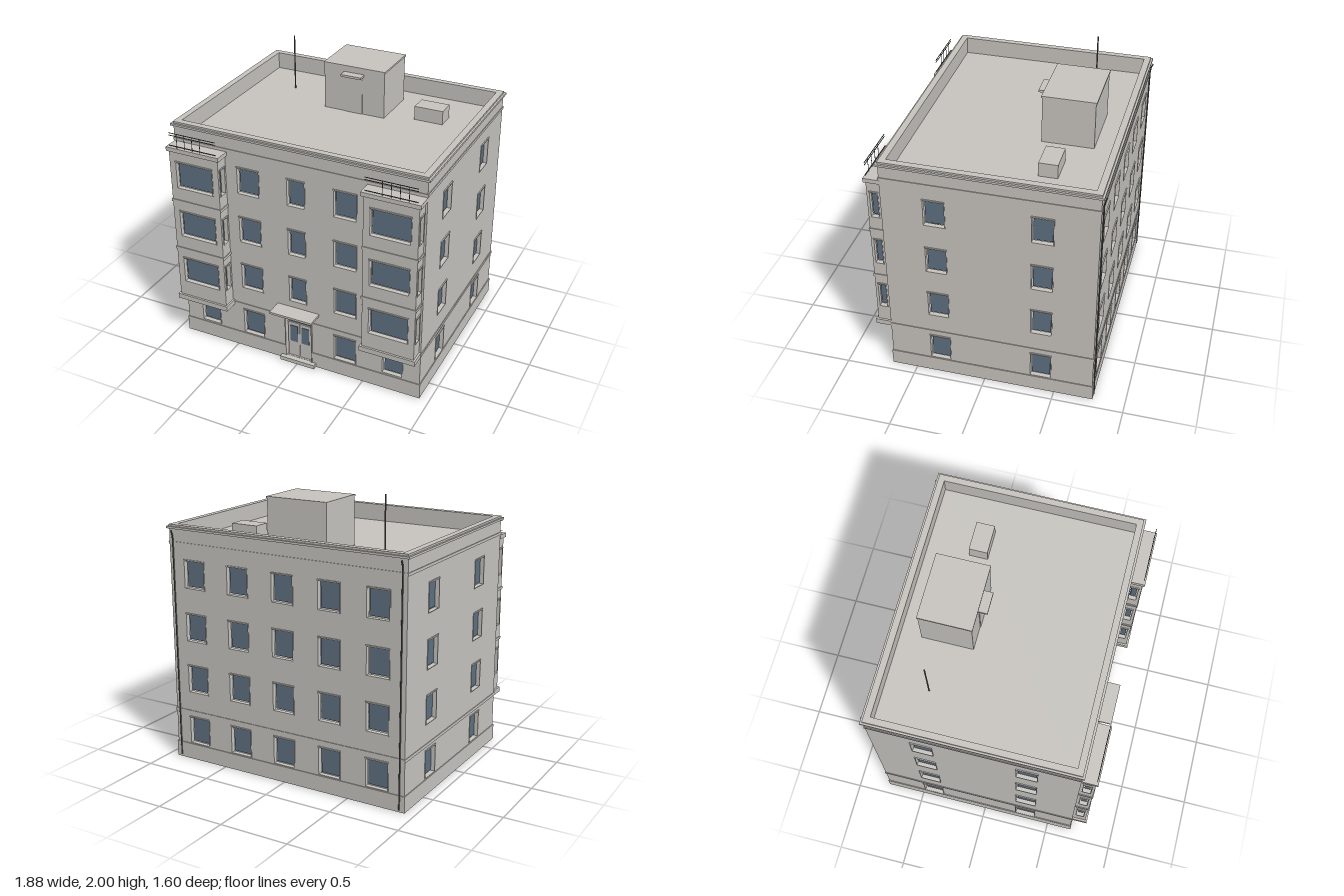
import * as THREE from 'three';

const X = 0.923, ZF = 0.677, ZB = -0.769, ROOF = 1.59, TOP = 1.685;
const ROWS = [0.222, 0.61, 0.99, 1.372];

export function createModel() {
  const concrete = new THREE.MeshStandardMaterial({ color: 0xc8c5c0, side: THREE.DoubleSide });
  concrete.name = 'concrete';
  const glass = new THREE.MeshStandardMaterial({ color: 0x5f7182 });
  glass.name = 'window glass';
  const metal = new THREE.MeshStandardMaterial({ color: 0x5a5a57 });
  metal.name = 'dark metal';

  const model = new THREE.Group();
  model.name = 'apartmentBlock';

  function add(parent, name, geo, mat = concrete) {
    const m = new THREE.Mesh(geo, mat);
    m.name = name;
    parent.add(m);
    return m;
  }
  // Box given by its limits on each axis
  function box(parent, name, [x0, x1], [y0, y1], [z0, z1], mat) {
    const m = add(parent, name, new THREE.BoxGeometry(x1 - x0, y1 - y0, z1 - z0), mat);
    m.position.set((x0 + x1) / 2, (y0 + y1) / 2, (z0 + z1) / 2);
    return m;
  }
  function group(parent, name) {
    const g = new THREE.Group();
    g.name = name;
    parent.add(g);
    return g;
  }
  function rect(S, x0, x1, y0, y1) {
    return new S([[x0, y0], [x1, y0], [x1, y1], [x0, y1]].map(p => new THREE.Vector2(...p)));
  }
  // Horizontal ring running round the building
  function ring(name, y0, y1, out, inn) {
    const s = rect(THREE.Shape, -X - out, X + out, -ZF - out, -ZB + out);
    s.holes.push(rect(THREE.Path, -X + inn, X - inn, -ZF + inn, -ZB - inn));
    const m = add(model, name, new THREE.ExtrudeGeometry(s, { depth: y1 - y0, bevelEnabled: false }));
    m.rotation.x = -Math.PI / 2;
    m.position.y = y0;
  }
  // Window: deep reveal, lintel and a recessed pane with a narrow open gap round it
  function windowUnit(parent, { x, y, w, h }) {
    const g = group(parent, 'window');
    g.position.set(x, y, 0);
    const s = rect(THREE.Shape, -w / 2 - 0.005, w / 2 + 0.005, -h / 2 - 0.005, h / 2 + 0.005);
    s.holes.push(rect(THREE.Path, -w / 2, w / 2, -h / 2, h / 2));
    const reveal = add(g, 'windowReveal', new THREE.ExtrudeGeometry(s, { depth: 0.034, bevelEnabled: false }));
    reveal.position.z = -0.03;
    box(g, 'lintel', [-w / 2 - 0.005, w / 2 + 0.005], [h / 2, h / 2 + 0.009], [0, 0.008]);
    const e = 0.008;
    box(g, 'windowPane', [-w / 2 + e, w / 2 - e], [-h / 2 + 0.009, h / 2 - 0.005], [-0.027, -0.022], glass);
  }
  // Thin wall facing local +z with openings; plain openings get no window
  function wall(parent, name, [x0, x1], [y0, y1], openings) {
    const g = group(parent, name);
    const s = rect(THREE.Shape, x0, x1, y0, y1);
    for (const o of openings) {
      s.holes.push(rect(THREE.Path, o.x - o.w / 2, o.x + o.w / 2, o.y - o.h / 2, o.y + o.h / 2));
      if (!o.plain) windowUnit(g, o);
    }
    add(g, name + 'Surface', new THREE.ShapeGeometry(s));
    return g;
  }

  // Main walls
  const front = [{ x: 0, y: 0.216, w: 0.2, h: 0.368, plain: true }];
  for (const y of ROWS) {
    for (const x of [-0.36, 0.36]) front.push({ x, y, w: 0.163, h: 0.195 });
    if (y > 0.5) front.push({ x: 0, y, w: 0.128, h: 0.195 });
  }
  for (const x of [-0.72, 0.72]) front.push({ x, y: 0.22, w: 0.147, h: 0.178 });
  wall(model, 'frontWall', [-X, X], [0, TOP], front).position.z = ZF;

  const back = ROWS.flatMap(y => [-0.72, -0.36, 0, 0.36, 0.72].map(x => ({ x, y, w: 0.163, h: 0.195 })));
  const backWall = wall(model, 'backWall', [-X, X], [0, TOP], back);
  backWall.position.z = ZB;
  backWall.rotation.y = Math.PI;

  for (const s of [-1, 1]) {
    const holes = ROWS.flatMap(y => [0.318, -0.402].map(z => ({ x: -s * z, y, w: 0.143, h: 0.195 })));
    const ends = [-s * ZF, -s * ZB].sort((a, b) => a - b);
    const side = wall(model, s > 0 ? 'leftWall' : 'rightWall', ends, [0, TOP], holes);
    side.position.x = s * X;
    side.rotation.y = s * Math.PI / 2;
  }

  // Plinth and string course, interrupted at the entrance
  function course(name, y0, y1, d) {
    for (const s of [-1, 1]) {
      box(model, name, s > 0 ? [0.105, X + d] : [-X - d, -0.105], [y0, y1], [ZF, ZF + d]);
      box(model, name, s > 0 ? [X, X + d] : [-X - d, -X], [y0, y1], [ZB, ZF]);
    }
    box(model, name, [-X - d, X + d], [y0, y1], [ZB - d, ZB]);
  }
  course('plinth', 0, 0.115, 0.006);
  course('stringCourse', 0.35, 0.372, 0.005);

  // Roof, parapet and cornice
  box(model, 'roofDeck', [-X + 0.01, X - 0.01], [ROOF - 0.015, ROOF], [ZB + 0.01, ZF - 0.01]);
  ring('friezeBand', 1.575, 1.595, 0.005, 0.001);
  ring('parapet', ROOF - 0.015, TOP, -0.002, 0.043);
  ring('cornice', TOP, 1.7, 0.016, 0.043);
  ring('parapetCap', 1.7, 1.713, 0.002, 0.043);

  // Stair housing with cap, door and canopy
  const house = group(model, 'stairHousing');
  box(house, 'housingBody', [-0.231, 0.231], [ROOF, 1.925], [-0.582, -0.222]);
  box(house, 'housingCap', [-0.235, 0.235], [1.925, 1.938], [-0.588, -0.217]);
  box(house, 'housingDoor', [-0.065, 0.065], [ROOF, 1.85], [-0.222, -0.217]);
  box(house, 'housingCanopy', [-0.078, 0.076], [1.874, 1.89], [-0.222, -0.16]);
  box(model, 'roofVent', [0.43, 0.64], [ROOF, 1.69], [-0.43, -0.3]);
  add(model, 'antenna', new THREE.CylinderGeometry(0.005, 0.005, 2 - ROOF, 8), metal)
    .position.set(-0.58, (2 + ROOF) / 2, -0.43);

  // Projecting bays with balcony rails on top
  for (const s of [-1, 1]) {
    const bay = group(model, 'bay');
    bay.position.set(s * 0.72, 0, ZF);
    const D = 0.096, W = 0.19, H = [0.38, 1.55];
    const rows = ROWS.slice(1).map(y => y - 0.009);
    wall(bay, 'bayFront', [-W, W], H, rows.map(y => ({ x: 0, y, w: 0.28, h: 0.195 }))).position.z = D;
    for (const t of [-1, 1]) {
      const cheek = wall(bay, 'baySide', [-D / 2, D / 2], H,
        rows.map(y => ({ x: 0, y, w: 0.054, h: 0.195 })));
      cheek.position.set(t * W, 0, D / 2);
      cheek.rotation.y = t * Math.PI / 2;
      for (const y of [0.775, 1.16])
        box(bay, 'baySideBand', t > 0 ? [W, W + 0.006] : [-W - 0.006, -W], [y - 0.01, y + 0.01], [0, D]);
    }
    for (const y of [0.775, 1.16])
      box(bay, 'bayBand', [-W - 0.006, W + 0.006], [y - 0.01, y + 0.01], [D, D + 0.006]);
    box(bay, 'baySoffit', [-0.204, 0.204], [0.345, 0.383], [0, 0.11]);
    box(bay, 'bayRoof', [-0.204, 0.204], [1.54, 1.57], [0, 0.11]);
    for (const y of [1.582, 1.657, 1.674])
      box(bay, 'balconyRail', [-0.18, 0.18], [y - 0.002, y + 0.002], [0.096, 0.1], metal);
    for (let i = 0; i < 4; i++) {
      const x = s * (0.12 - i * 0.06);
      box(bay, 'balconyPost', [x - 0.0015, x + 0.0015], [1.57, 1.672], [0.0965, 0.0995], metal);
    }
  }

  // Entrance
  const door = group(model, 'entrance');
  door.position.z = ZF;
  box(door, 'doorStep', [-0.135, 0.135], [0, 0.03], [-0.02, 0.038]);
  box(door, 'doorCanopy', [-0.162, 0.162], [0.444, 0.46], [0, 0.123]);
  box(door, 'doorHead', [-0.107, 0.107], [0.398, 0.408], [0, 0.01]);
  box(door, 'doorBacking', [-0.094, 0.094], [0.03, 0.398], [-0.034, -0.028]);
  box(door, 'transomPane', [-0.093, 0.093], [0.32, 0.394], [-0.028, -0.02], glass);
  for (const s of [-1, 1]) {
    box(door, 'doorJamb', s > 0 ? [0.1, 0.107] : [-0.107, -0.1], [0.03, 0.4], [-0.03, 0.01]);
    box(door, 'doorLeaf', s > 0 ? [0.001, 0.092] : [-0.092, -0.001], [0.03, 0.316], [-0.028, -0.015]);
    box(door, 'doorPane', s > 0 ? [0.015, 0.074] : [-0.074, -0.015], [0.155, 0.29], [-0.015, -0.011], glass);
  }

  // Downpipes at the back corners, kicked outward under the cornice
  for (const s of [-1, 1]) {
    const path = new THREE.CurvePath();
    const pts = [[0.015, -0.777], [1.635, -0.777], [1.678, -0.796]].map(([y, z]) => new THREE.Vector3(s * 0.89, y, z));
    path.add(new THREE.LineCurve3(pts[0], pts[1]));
    path.add(new THREE.LineCurve3(pts[1], pts[2]));
    add(model, 'downpipe', new THREE.TubeGeometry(path, 48, 0.005, 8), metal);
  }
  return model;
}
